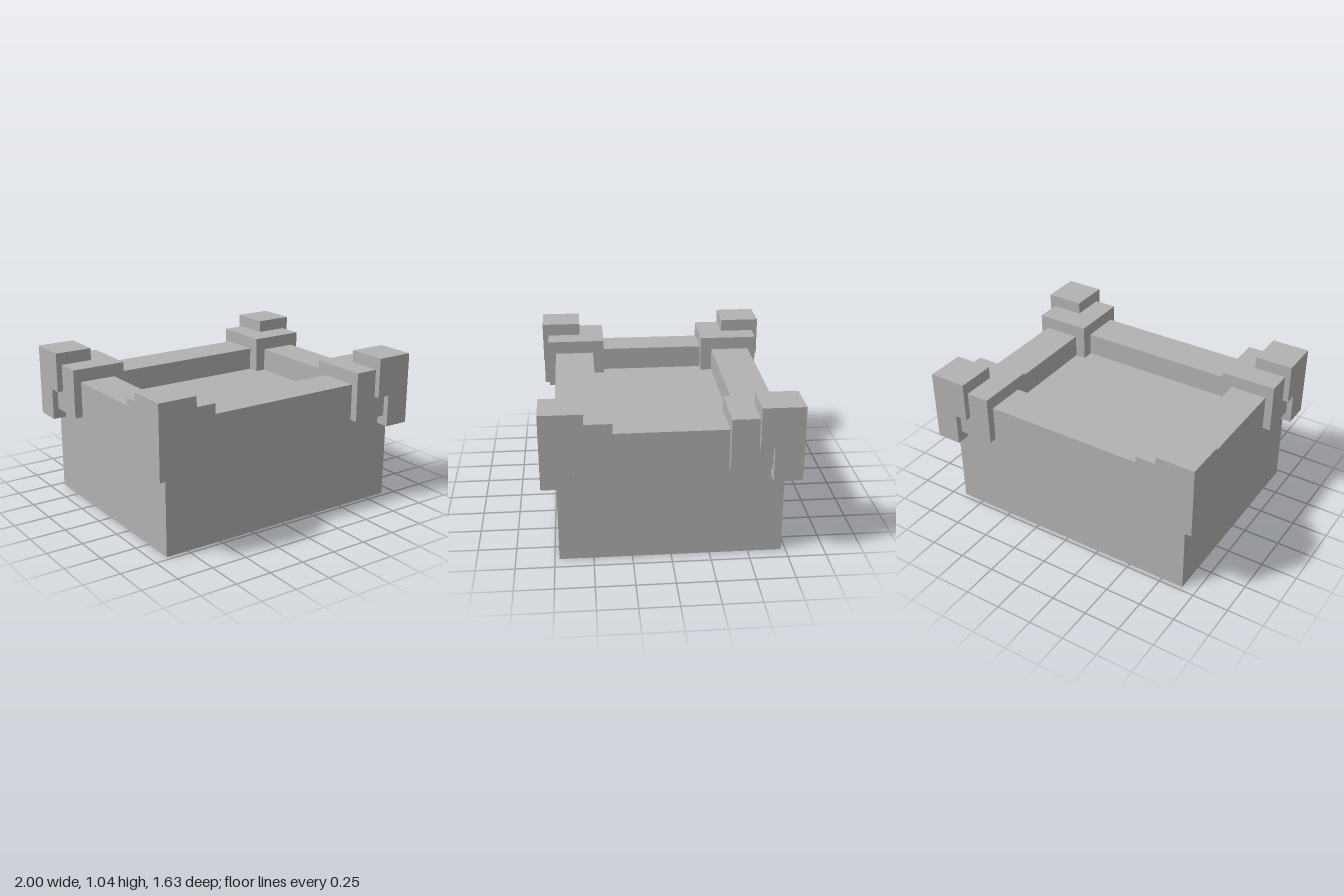
import * as THREE from 'three';

// Boxes as [x0, x1, y0, y1, z0, z1]; the parts join into one open-bottomed shell.
const WX = 0.905, WZ = 0.72, IX = 0.65, IZ = 0.445, FLOOR = 0.71, TOP = 0.87;

// Repeat a box in the four corners
function corners([x0, x1, y0, y1, z0, z1]) {
  const out = [];
  for (const sx of [-1, 1]) for (const sz of [-1, 1]) {
    out.push([
      Math.min(sx * x0, sx * x1), Math.max(sx * x0, sx * x1), y0, y1,
      Math.min(sz * z0, sz * z1), Math.max(sz * z0, sz * z1),
    ]);
  }
  return out;
}

// Earlier parts own the space they share with later ones
const parts = {
  cornerCaps: [
    ...corners([0.735, 1, 0.77, 1.045, 0.54, 0.815]),
    ...corners([0.825, 1, 0.55, 0.77, 0.63, 0.815]),
  ],
  cornerBlocks: corners([0.575, 0.96, 0.62, 0.96, 0.365, 0.775]),
  rimWalls: [
    [-WX, WX, FLOOR, TOP, IZ, WZ], [-WX, WX, FLOOR, TOP, -WZ, -IZ],
    [IX, WX, FLOOR, TOP, -IZ, IZ], [-WX, -IX, FLOOR, TOP, -IZ, IZ],
  ],
  base: [[-WX, WX, 0, FLOOR, -WZ, WZ]],
};

export function createModel() {
  const group = new THREE.Group();
  group.name = 'planterBox';
  const stone = new THREE.MeshStandardMaterial({ color: 0xb2b2b2, side: THREE.DoubleSide });
  stone.name = 'grey stone';

  // Grid lines on each axis, taken from the box edges
  const boxes = Object.values(parts).flat();
  const grid = [0, 2, 4].map((k) =>
    [...new Set(boxes.flatMap((b) => [b[k], b[k + 1]]))].sort((a, b) => a - b));

  // Name of the part filling a grid cell, or undefined when it is empty
  const owner = (cell) => {
    if (cell.some((i, a) => i < 0 || i >= grid[a].length - 1)) return undefined;
    const c = cell.map((i, a) => (grid[a][i] + grid[a][i + 1]) / 2);
    return Object.keys(parts).find((name) => parts[name].some((b) =>
      c.every((v, a) => v > b[2 * a] && v < b[2 * a + 1])));
  };

  const positions = {};
  for (const name in parts) positions[name] = [];

  // Emit a face wherever a filled cell meets an empty one
  for (let i = 0; i < grid[0].length - 1; i++)
    for (let j = 0; j < grid[1].length - 1; j++)
      for (let k = 0; k < grid[2].length - 1; k++) {
        const cell = [i, j, k];
        const name = owner(cell);
        if (!name) continue;
        for (let a = 0; a < 3; a++) for (const d of [-1, 1]) {
          const next = cell.slice();
          next[a] += d;
          if (owner(next)) continue;
          if (a === 1 && d < 0 && j === 0) continue; // open underside
          const u = (a + 1) % 3, v = (a + 2) % 3;
          const corner = (du, dv) => {
            const p = [0, 0, 0];
            p[a] = grid[a][cell[a] + (d > 0 ? 1 : 0)];
            p[u] = grid[u][cell[u] + du];
            p[v] = grid[v][cell[v] + dv];
            return p;
          };
          const q = [corner(0, 0), corner(1, 0), corner(1, 1), corner(0, 1)];
          if (d < 0) q.reverse();
          for (const n of [0, 1, 2, 0, 2, 3]) positions[name].push(...q[n]);
        }
      }

  for (const name in parts) {
    const geometry = new THREE.BufferGeometry();
    geometry.setAttribute('position', new THREE.Float32BufferAttribute(positions[name], 3));
    geometry.computeVertexNormals();
    const mesh = new THREE.Mesh(geometry, stone);
    mesh.name = name;
    group.add(mesh);
  }
  return group;
}
